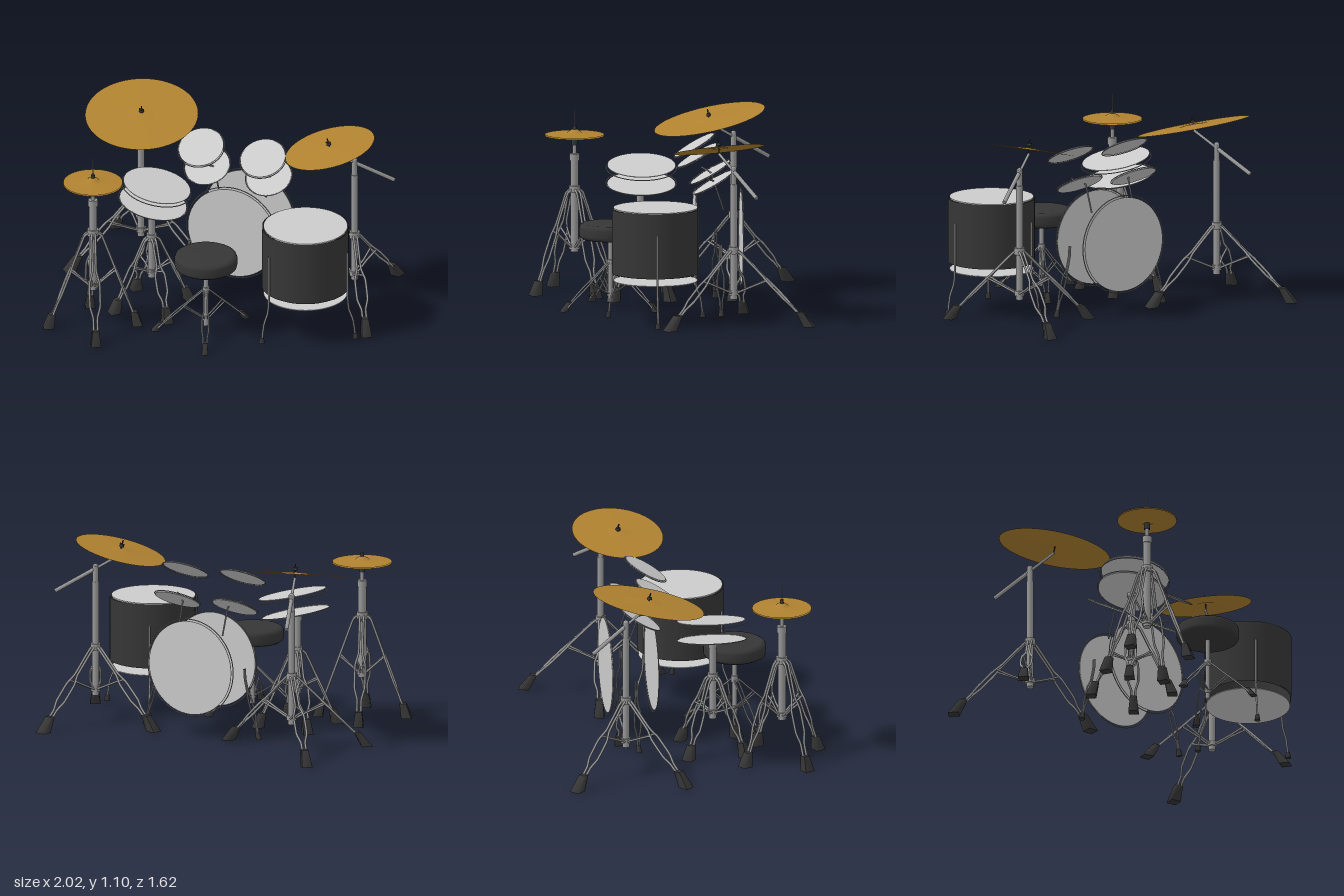
import * as THREE from 'three';

const material = (color) => new THREE.MeshStandardMaterial({ color, side: THREE.DoubleSide });
const skin = material(0xcccccc);
const steel = material(0x999999);
const dark = material(0x363636);
const gold = material(0xb08230);
const V = (x, y, z) => new THREE.Vector3(x, y, z);
const UP = V(0, 1, 0);

function add(parent, name, geometry, mat, position = V(0, 0, 0)) {
  const mesh = new THREE.Mesh(geometry, mat);
  mesh.name = name;
  mesh.position.copy(position);
  parent.add(mesh);
  return mesh;
}

function group(parent, name, position = V(0, 0, 0)) {
  const g = new THREE.Group();
  g.name = name;
  g.position.copy(position);
  parent.add(g);
  return g;
}

// Round bar from a to b
function rod(parent, name, a, b, rA, rB = rA, mat = steel) {
  const dir = b.clone().sub(a);
  const mesh = add(parent, name, new THREE.CylinderGeometry(rB, rA, dir.length(), 16), mat,
    a.clone().add(b).multiplyScalar(0.5));
  mesh.quaternion.setFromUnitVectors(UP, dir.normalize());
  return mesh;
}

// Bent wire through a few points
function wire(parent, name, points, r) {
  const curve = new THREE.CatmullRomCurve3(points, false, 'catmullrom', 0.15);
  return add(parent, name, new THREE.TubeGeometry(curve, 36, r, 8), steel);
}

// Tapered rubber foot: sole flat on the floor, top leaning back toward the stand
function rubberFoot(parent, reach, size, lean) {
  const height = size * 1.75;
  const shoe = new THREE.CylinderGeometry(size * 0.55, size * 0.85, height, 4).rotateY(Math.PI / 4);
  const pos = shoe.attributes.position;
  for (let i = 0; i < pos.count; i++) pos.setX(i, pos.getX(i) - pos.getY(i) * lean);
  shoe.computeVertexNormals();
  add(parent, 'foot', shoe, dark, V(reach, height / 2 + 0.008, 0));
}

// Tripod or four-legged base: double-wire legs with shoulders, braces and rubber feet
function legs(parent, { angles, reach, collar, low, tube, foot, r }) {
  add(parent, 'legCollar', new THREE.CylinderGeometry(tube * 1.4, tube * 1.4, 0.04, 20), steel, V(0, collar, 0));
  add(parent, 'braceCollar', new THREE.CylinderGeometry(tube * 1.3, tube * 1.3, 0.03, 20), steel, V(0, low, 0));
  const wide = foot * 0.6, shoulder = tube * 2.2;
  const at = (t, side) => V(shoulder + (reach - shoulder) * t, collar - tube + (foot - collar + tube) * t, side);
  for (const degrees of angles) {
    const leg = group(parent, 'leg');
    leg.rotation.y = -THREE.MathUtils.degToRad(degrees);
    for (const s of [-1, 1]) {
      wire(leg, 'legWire', [V(tube, collar, s * 0.011), at(0, s * 0.011), at(0.32, s * 0.011), at(0.45, s * wide),
        at(0.68, s * wide), at(0.8, s * 0.012), at(1, s * 0.012)], r);
      const mid = at(0.4, s * wide * 0.7);
      const a = V(tube, low, s * 0.01);
      wire(leg, 'braceWire', [a, a.clone().lerp(mid, 0.5).setZ(s * 0.01), mid], r * 0.9);
    }
    rubberFoot(leg, reach, foot, (reach - shoulder) / (collar - foot) * 0.7);
  }
}

// Thin cymbal with a raised bell; slopes give its rise per unit along x and z
function cymbal(parent, name, center, radius, bell, bow, slopeX, slopeZ) {
  const g = group(parent, name, center);
  g.quaternion.setFromUnitVectors(UP, V(-slopeX, 1, -slopeZ).normalize());
  const profile = [[0.01, bell + bow], [0.1, bell * 0.9 + bow], [0.2, bell * 0.4 + bow], [0.25, bow],
    [0.6, bow * 0.6], [1, 0]].map(([x, y]) => new THREE.Vector2(x * radius, y));
  add(g, 'cymbalPlate', new THREE.LatheGeometry(profile, 64), gold);
  return g;
}

function wingNut(parent, y) {
  add(parent, 'nut', new THREE.CylinderGeometry(0.012, 0.015, 0.014, 16), dark, V(0, y, 0));
  add(parent, 'wing', new THREE.BoxGeometry(0.03, 0.007, 0.007), dark, V(0, y + 0.008, 0));
  rod(parent, 'threadedRod', V(0, y - 0.05, 0), V(0, y + 0.032, 0), 0.004, 0.004, dark);
}

// Two drum skins, each with a thin hoop set inward; axis along local y
function skins(parent, radius, depth, hoopRadius, topInset, bottomInset) {
  for (const [s, inset] of [[1, topInset], [-1, bottomInset]]) {
    add(parent, 'skin', new THREE.CylinderGeometry(radius, radius, 0.004, 64), skin, V(0, s * depth / 2, 0));
    add(parent, 'hoop', new THREE.TorusGeometry(hoopRadius, 0.003, 8, 72).rotateX(Math.PI / 2), steel,
      V(0, s * (depth / 2 - inset), 0));
  }
}

function cymbalStand(parent, name, base, angles, armLow, armHigh) {
  const g = group(parent, name);
  const stand = group(g, 'standBase', base);
  rod(stand, 'lowerTube', V(0, 0.16, 0), V(0, 0.84, 0), 0.021);
  rod(stand, 'upperTube', V(0, 0.84, 0), V(0, 0.935, 0), 0.017);
  legs(stand, { angles, reach: 0.42, collar: 0.45, low: 0.2, tube: 0.022, foot: 0.051, r: 0.007 });
  const mid = armLow.clone().lerp(armHigh, 0.6);
  rod(g, 'boomArm', armLow, mid, 0.012);
  rod(g, 'boomTip', mid, armHigh, 0.008);
  add(g, 'boomJoint', new THREE.SphereGeometry(0.017, 16, 12), steel, V(base.x, 0.93, base.z));
}

export function createModel() {
  const kit = new THREE.Group();
  kit.name = 'drumKit';

  // Bass drum with double-wire side spurs
  const bass = group(kit, 'bassDrum', V(0.042, 0.42, -0.277));
  const bassSkins = group(bass, 'bassSkins');
  bassSkins.rotation.x = Math.PI / 2;
  skins(bassSkins, 0.279, 0.275, 0.29, 0.004, 0.004);
  for (const s of [-1, 1]) {
    for (const side of [-1, 1]) {
      wire(bass, 'spurWire', [V(s * 0.288, 0, side * 0.006), V(s * 0.292, -0.06, side * 0.006),
        V(s * 0.31, -0.14, side * 0.007), V(s * 0.325, -0.18, side * 0.018), V(s * 0.35, -0.27, side * 0.018),
        V(s * 0.365, -0.32, side * 0.007), V(s * 0.38, -0.38, side * 0.006)], 0.005);
    }
    rod(bass, 'spurFoot', V(s * 0.386, -0.412, 0), V(s * 0.375, -0.37, 0), 0.018, 0.012, dark);
  }

  // Pair of rack toms on bent arms
  for (const s of [-1, 1]) {
    const tom = group(kit, 'rackTom', V(0.038 + s * 0.195, 0.855, -0.194));
    tom.rotation.x = Math.PI / 6;
    skins(tom, 0.134, 0.188, 0.139, 0.005, 0.005);
    wire(kit, 'tomArm', [V(0.04 + s * 0.15, 0.606, -0.302), V(0.04 + s * 0.153, 0.762, -0.248),
      V(0.04 + s * 0.165, 0.78, -0.24), V(0.04 + s * 0.222, 0.802, -0.19)], 0.005);
  }

  // Snare drum and its stand
  const snare = group(kit, 'snareDrum', V(-0.325, 0.739, 0.155));
  snare.rotation.z = -0.21;
  skins(snare, 0.2, 0.115, 0.206, 0.018, 0.004);
  const snareStand = group(kit, 'snareStand', V(-0.345, 0, 0.16));
  rod(snareStand, 'standTube', V(0, 0.2, 0), V(0, 0.64, 0), 0.022);
  rod(snareStand, 'tubeCap', V(0, 0.64, 0), V(0, 0.665, 0), 0.026);
  legs(snareStand, { angles: [45, 135, 225, 315], reach: 0.225, collar: 0.46, low: 0.24, tube: 0.022, foot: 0.05, r: 0.007 });

  // Floor tom: shell with raised panels, skins and three legs
  const floorTom = group(kit, 'floorTom', V(0.61, 0, 0.117));
  add(floorTom, 'shell', new THREE.CylinderGeometry(0.25, 0.25, 0.385, 64, 1, true), dark, V(0, 0.492, 0));
  for (let i = 0; i < 6; i++) {
    add(floorTom, 'shellPanel', new THREE.CylinderGeometry(0.256, 0.256, 0.38, 12, 1, true, i * Math.PI / 3, 0.75),
      dark, V(0, 0.492, 0));
  }
  add(floorTom, 'topSkin', new THREE.CylinderGeometry(0.246, 0.246, 0.006, 64), skin, V(0, 0.685, 0));
  add(floorTom, 'bottomSkin', new THREE.CylinderGeometry(0.246, 0.246, 0.005, 64), skin, V(0, 0.255, 0));
  for (const degrees of [0, 122, 244]) {
    const leg = group(floorTom, 'floorTomLeg');
    leg.rotation.y = -THREE.MathUtils.degToRad(degrees);
    wire(leg, 'legRod', [V(0.264, 0.56, 0), V(0.264, 0.3, 0), V(0.272, 0.2, 0), V(0.3, 0.13, 0), V(0.314, 0.04, 0)], 0.006);
    rod(leg, 'legFoot', V(0.316, 0.015, 0), V(0.314, 0.05, 0), 0.017, 0.012, dark);
  }

  // Stool
  const stool = group(kit, 'stool', V(0.078, 0, 0.355));
  const seat = [[0, 0.425], [0.165, 0.425], [0.18, 0.435], [0.184, 0.45], [0.184, 0.49], [0.178, 0.505], [0.16, 0.515], [0, 0.517]];
  add(stool, 'seat', new THREE.LatheGeometry(seat.map(([x, y]) => new THREE.Vector2(x, y)), 48), dark);
  rod(stool, 'seatPost', V(0, 0.05, 0), V(0, 0.43, 0), 0.014);
  legs(stool, { angles: [-61, 69, 161], reach: 0.28, collar: 0.28, low: 0.1, tube: 0.015, foot: 0.032, r: 0.005 });

  // Hi-hat
  const hat = group(kit, 'hiHat', V(-0.562, 0, 0.535));
  rod(hat, 'standTube', V(0, 0.25, 0), V(0, 0.79, 0), 0.024);
  rod(hat, 'tubeCap', V(0, 0.79, 0), V(0, 0.83, 0), 0.028);
  rod(hat, 'upperTube', V(0, 0.83, 0), V(0, 0.89, 0), 0.012);
  rod(hat, 'cymbalSeat', V(0, 0.88, 0), V(0, 0.925, 0), 0.018, 0.018, dark);
  rod(hat, 'pullRod', V(0, 0.88, 0), V(0, 1.09, 0), 0.003);
  rod(hat, 'clutch', V(0, 0.96, 0), V(0, 0.995, 0), 0.013, 0.01, dark);
  cymbal(hat, 'topCymbal', V(0, 0.943, 0), 0.174, 0.022, 0.009, 0, 0);
  cymbal(hat, 'bottomCymbal', V(0, 0.936, 0), 0.174, -0.015, -0.005, 0, 0);
  legs(hat, { angles: [-116, -26, 64, 154], reach: 0.25, collar: 0.62, low: 0.28, tube: 0.024, foot: 0.05, r: 0.007 });

  // Large and small cymbals on boom stands
  const large = cymbal(kit, 'largeCymbal', V(-0.577, 1.025, -0.256), 0.331, 0.006, 0.006, -0.07, -0.22);
  wingNut(large, 0.028);
  cymbalStand(kit, 'largeCymbalStand', V(-0.64, 0, -0.4), [4, 137, 228], V(-0.73, 0.78, -0.61), V(-0.578, 1.0, -0.26));
  const small = cymbal(kit, 'smallCymbal', V(0.612, 1.026, -0.254), 0.269, 0.006, 0.006, 0.233, -0.09);
  wingNut(small, 0.03);
  cymbalStand(kit, 'smallCymbalStand', V(0.735, 0, -0.335), [59, 190, 282], V(0.935, 0.785, -0.46), V(0.612, 1.0, -0.256));

  return kit;
}
